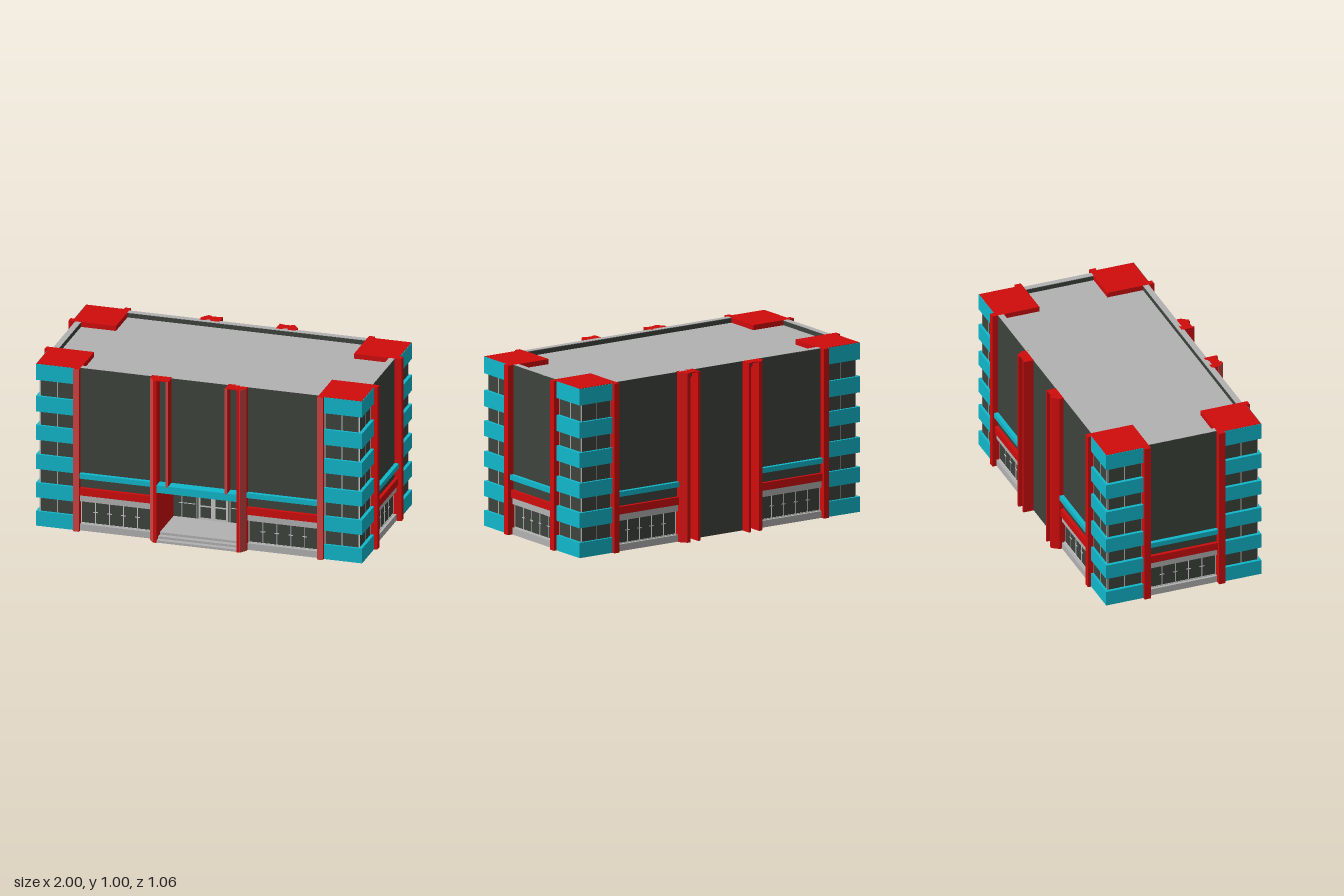
import * as THREE from 'three';

const mat = (name, color) => {
  const m = new THREE.MeshStandardMaterial({ color });
  m.name = name;
  return m;
};

export function createModel() {
  const red = mat('red', 0xd00c0c);
  const paleRed = mat('pale red', 0xcf4444);
  const teal = mat('teal', 0x10b8cc);
  const glass = mat('dark glass', 0x3d433c);
  const grey = mat('grey', 0xb2b2b2);
  const frame = mat('window frame', 0xc4c8c4);

  const model = new THREE.Group();
  model.name = 'officeBuilding';

  // Box given by its limits on each axis
  const box = (parent, name, m, x0, x1, y0, y1, z0, z1) => {
    const mesh = new THREE.Mesh(new THREE.BoxGeometry(x1 - x0, y1 - y0, z1 - z0), m);
    mesh.position.set((x0 + x1) / 2, (y0 + y1) / 2, (z0 + z1) / 2);
    mesh.name = name;
    parent.add(mesh);
    return mesh;
  };
  const side = (name, angle) => {
    const g = new THREE.Group();
    g.name = name;
    g.rotation.y = angle;
    model.add(g);
    return g;
  };

  // One bay of curtain wall facing +z at distance d, shop windows below
  const bay = (parent, x0, x1, d, panes) => {
    const g = new THREE.Group();
    g.name = 'facadeBay';
    parent.add(g);
    box(g, 'upperGlass', glass, x0, x1, 0.265, 0.999, d - 0.01, d);
    box(g, 'ledge', teal, x0, x1, 0.325, 0.355, d - 0.005, d + 0.025);
    box(g, 'redBeam', red, x0, x1, 0.22, 0.265, d - 0.02, d + 0.02);
    box(g, 'lintel', grey, x0, x1, 0.18, 0.22, d - 0.02, d + 0.01);
    box(g, 'plinth', grey, x0, x1, 0, 0.04, d - 0.02, d + 0.01);
    const w = d - 0.01;
    box(g, 'shopGlass', glass, x0, x1, 0.04, 0.18, w - 0.01, w);
    box(g, 'windowSill', frame, x0, x1, 0.04, 0.045, w, w + 0.004);
    box(g, 'windowHead', frame, x0, x1, 0.175, 0.18, w, w + 0.004);
    for (let i = 0; i <= panes; i++) {
      const x = x0 + 0.003 + ((x1 - x0 - 0.006) * i) / panes;
      box(g, 'mullion', frame, x - 0.0025, x + 0.0025, 0.045, 0.175, w, w + 0.003);
      if (i > 0 && i < panes) box(g, 'glazingBar', frame, x - 0.014, x + 0.014, 0.111, 0.116, w, w + 0.003);
    }
  };

  // Chamfered post beside the centre bay, with its slim inner fin and cap
  const centrePost = (parent, s, front) => {
    const g = new THREE.Group();
    g.name = 'centrePost';
    parent.add(g);
    const poly = (pts, y0, y1, name) => {
      const p = pts.map(([x, z]) => new THREE.Vector2(x * s, -z));
      const geo = new THREE.ExtrudeGeometry(new THREE.Shape(p), { depth: y1 - y0, bevelEnabled: false });
      geo.rotateX(-Math.PI / 2);
      const mesh = new THREE.Mesh(geo, red);
      mesh.position.y = y0;
      mesh.name = name;
      g.add(mesh);
    };
    poly([[0.24, 0.45], [0.29, 0.45], [0.29, 0.49], [0.26, 0.53], [0.24, 0.53]], 0, 1, 'post');
    poly([[0.17, 0.45], [0.25, 0.45], [0.25, 0.52], [0.17, 0.52]], 0.994, 1, 'cap');
    const bottom = front ? 0.35 : 0;
    const fin = (m, z0, z1) => box(g, 'fin', m, s * 0.1775 - 0.0075, s * 0.1775 + 0.0075, bottom, 1, z0, z1);
    fin(red, 0.45, 0.527);
    if (!front) return;
    fin(paleRed, 0.527, 0.53);
    const face = box(g, 'chamferFace', paleRed, -0.0245, 0.0245, 0, 1, -0.001, 0.001);
    face.position.set(s * 0.275, 0.5, 0.51);
    face.rotation.y = s * Math.atan2(0.04, 0.03);
  };

  // Long front and back facades
  const front = side('frontFacade', 0);
  const back = side('backFacade', Math.PI);
  for (const g of [front, back]) {
    bay(g, 0.29, 0.715, 0.465, 5);
    bay(g, -0.715, -0.29, 0.465, 5);
    for (const s of [-1, 1]) {
      centrePost(g, s, g === front);
      const c = s * 0.7325;
      box(g, 'cornerPillar', red, c - 0.0175, c + 0.0175, 0, 1, 0.44, 0.497);
      box(g, 'pillarFace', g === front ? paleRed : red, c - 0.0175, c + 0.0175, 0, 1, 0.497, 0.5);
    }
  }
  box(back, 'centreGlass', glass, -0.172, 0.172, 0, 0.999, 0.455, 0.465);
  box(front, 'centreGlass', glass, -0.24, 0.24, 0.33, 0.999, 0.455, 0.465);

  // Short end facades
  for (const s of [-1, 1]) {
    const g = side('endFacade', (s * Math.PI) / 2);
    bay(g, -0.21, 0.21, 0.96, 5);
    for (const t of [-0.23, 0.23]) box(g, 'endPillar', red, t - 0.02, t + 0.02, 0, 1, 0.94, 1);
  }

  // Corner towers with banded storeys
  const bands = [[0, 0.09], [0.175, 0.265], [0.35, 0.44], [0.53, 0.62], [0.705, 0.8], [0.9, 0.998]];
  for (const sx of [-1, 1]) for (const sz of [-1, 1]) {
    const g = new THREE.Group();
    g.name = 'cornerTower';
    model.add(g);
    const part = (name, m, x0, x1, y0, y1, z0, z1) => box(g, name, m,
      Math.min(sx * x0, sx * x1), Math.max(sx * x0, sx * x1), y0, y1,
      Math.min(sz * z0, sz * z1), Math.max(sz * z0, sz * z1));
    part('towerGlassFront', glass, 0.74, 0.96, 0.01, 0.99, 0.455, 0.465);
    part('towerGlassEnd', glass, 0.95, 0.96, 0.01, 0.99, 0.24, 0.465);
    part('towerRoof', red, 0.715, 0.977, 0.95, 1, 0.21, 0.477);
    bands.forEach(([y0, y1], i) => {
      part('bandFront', teal, 0.74, 0.98, y0, y1, 0.45, 0.48);
      part('bandEnd', teal, 0.95, 0.98, y0, y1, 0.24, 0.48);
      if (i === bands.length - 1) return;
      const top = bands[i + 1][0];
      // Slim window bars
      for (const x of [0.753, 0.855, 0.957]) part('windowBar', frame, x - 0.002, x + 0.002, y1, top, 0.465, 0.467);
      for (const z of [0.253, 0.36, 0.462]) part('windowBar', frame, 0.96, 0.962, y1, top, z - 0.002, z + 0.002);
    });
  }

  // Sunken roof deck with parapets
  box(model, 'roofDeck', grey, -0.72, 0.72, 0.96, 0.97, -0.455, 0.455);
  box(model, 'ceiling', glass, -0.95, 0.95, 0.95, 0.96, -0.22, 0.22);
  box(model, 'ceiling', glass, -0.72, 0.72, 0.949, 0.959, -0.455, 0.455);
  for (const s of [-1, 1]) {
    box(model, 'roofDeckEnd', grey, s * 0.835 - 0.115, s * 0.835 + 0.115, 0.96, 0.97, -0.215, 0.215);
    box(model, 'parapet', glass, -0.715, 0.715, 0.96, 0.997, s * 0.447 - 0.017, s * 0.447 + 0.017);
    box(model, 'coping', grey, -0.715, 0.715, 0.997, 1, s * 0.4475 - 0.0175, s * 0.4475 + 0.0175);
    box(model, 'endParapet', glass, s * 0.942 - 0.017, s * 0.942 + 0.017, 0.96, 0.997, -0.21, 0.21);
    box(model, 'endCoping', grey, s * 0.9425 - 0.0175, s * 0.9425 + 0.0175, 0.997, 1, -0.21, 0.21);
  }

  // Recessed entrance porch
  const porch = new THREE.Group();
  porch.name = 'entrancePorch';
  model.add(porch);
  box(porch, 'canopy', teal, -0.24, 0.24, 0.31, 0.355, 0.45, 0.53);
  box(porch, 'porchCeiling', glass, -0.24, 0.24, 0.31, 0.32, 0.2, 0.45);
  box(porch, 'porchBackWall', glass, -0.24, 0.24, 0, 0.32, 0.19, 0.2);
  for (const s of [-1, 1]) box(porch, 'porchSideWall', red, s * 0.245 - 0.005, s * 0.245 + 0.005, 0, 0.32, 0.19, 0.46);
  [0.525, 0.495, 0.465].forEach((z, i) =>
    box(porch, 'step', grey, -0.24, 0.24, i * 0.014, (i + 1) * 0.014, 0.2, z));
  for (const x of [-0.19, -0.1, 0.1, 0.19]) box(porch, 'porchMullion', frame, x - 0.002, x + 0.002, 0.042, 0.31, 0.2, 0.203);
  for (const y of [0.13, 0.205, 0.27]) for (const s of [-1, 1])
    box(porch, 'porchGlazingBar', frame, s * 0.16 - 0.05, s * 0.16 + 0.05, y - 0.002, y + 0.002, 0.2, 0.203);

  // Double door with four panes
  box(porch, 'doors', frame, -0.09, 0.09, 0.042, 0.205, 0.2, 0.206);
  for (const s of [-1, 1]) for (const y of [0.055, 0.13])
    box(porch, 'doorPane', glass, s * 0.045 - 0.031, s * 0.045 + 0.031, y, y + 0.065, 0.205, 0.208);

  return model;
}
